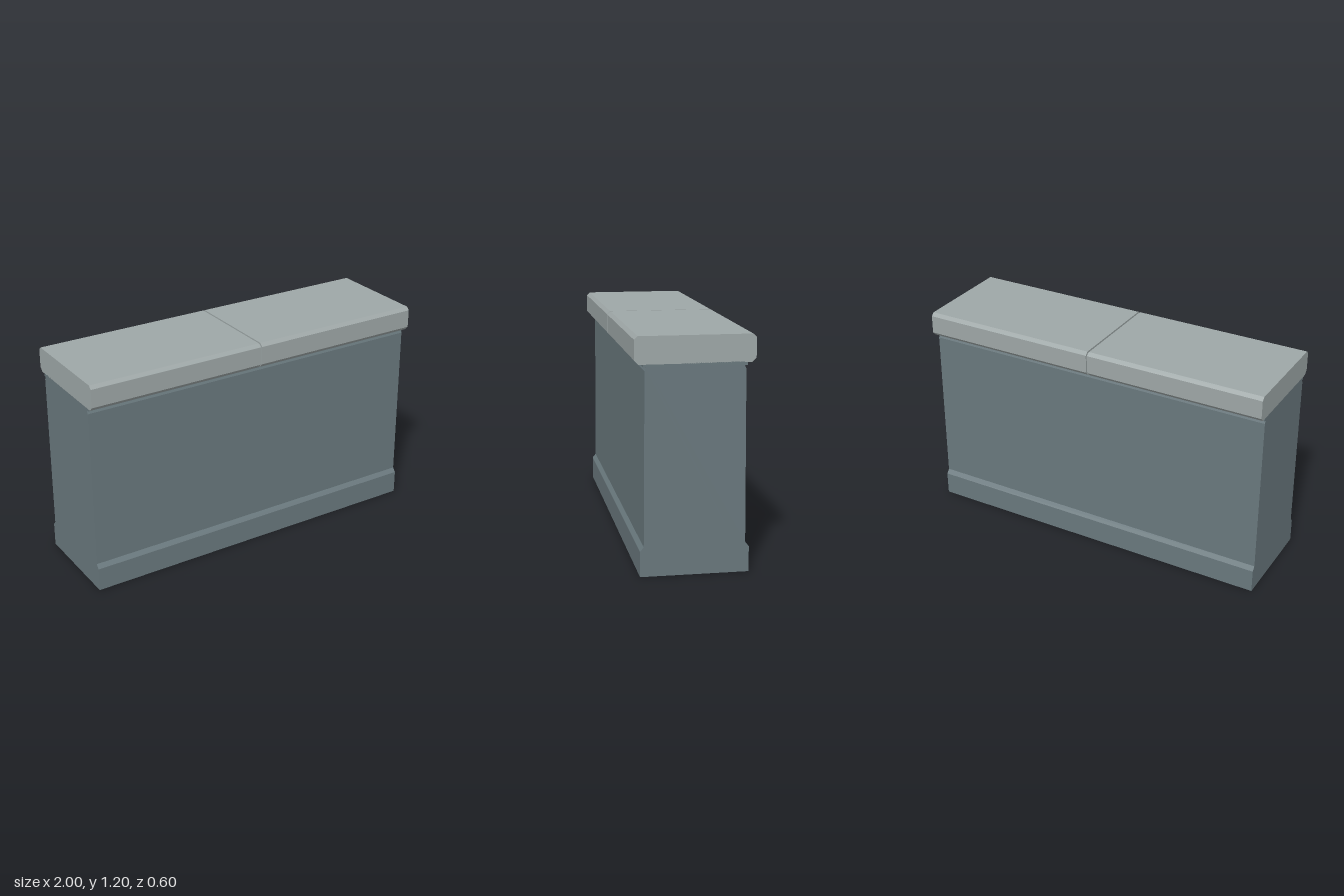
import * as THREE from 'three';

const wallStone = new THREE.MeshStandardMaterial({ name: 'wallStone', color: 0x69787d });
const capStone = new THREE.MeshStandardMaterial({ name: 'capStone', color: 0x9ea7a7 });

// Extrudes a mirrored [halfDepth, height] profile along x, from x0 to x1
function course(name, profile, x0, x1, material) {
  const mirrored = profile.map(([z, y]) => [-z, y]).reverse();
  const shape = new THREE.Shape([...profile, ...mirrored].map(([z, y]) => new THREE.Vector2(z, y)));
  const geometry = new THREE.ExtrudeGeometry(shape, { depth: x1 - x0, bevelEnabled: false });
  geometry.rotateY(Math.PI / 2).translate(x0, 0, 0);
  const mesh = new THREE.Mesh(geometry, material);
  mesh.name = name;
  return mesh;
}

export function createModel() {
  const model = new THREE.Group();
  model.name = 'parapetWall';

  // Wall with a chamfered plinth, slight taper and narrowed neck
  model.add(course('wall', [
    [0.275, 0], [0.275, 0.13], [0.256, 0.153], [0.25, 1.03], [0.243, 1.045], [0.243, 1.065],
  ], -1, 1, wallStone));

  // Thin bed course under the coping
  model.add(course('bedCourse', [[0.256, 1.048], [0.256, 1.062]], -1, 1, wallStone));

  // Two coping slabs with chamfered edges, separated by a narrow joint
  const coping = [[0.28, 1.062], [0.3, 1.083], [0.3, 1.183], [0.282, 1.2]];
  model.add(course('rightCopingSlab', coping, -1, -0.005, capStone));
  model.add(course('leftCopingSlab', coping, 0.005, 1, capStone));

  // Recessed stone closing the joint
  model.add(course('copingJoint', [
    [0.28, 1.062], [0.29, 1.083], [0.29, 1.178], [0.274, 1.19],
  ], -0.005, 0.005, capStone));

  return model;
}
